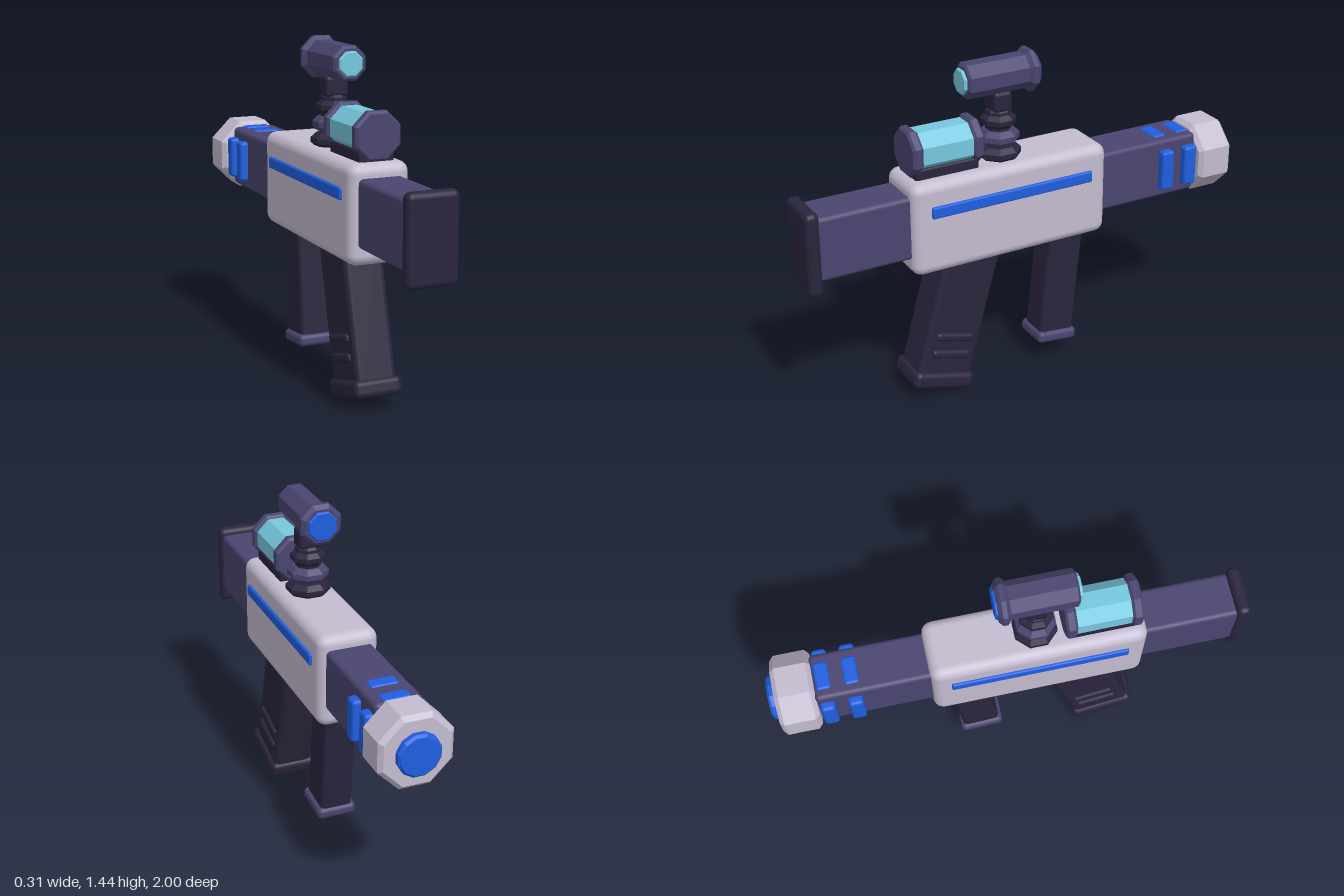
import * as THREE from 'three';
import { RoundedBoxGeometry } from 'three/addons/geometries/RoundedBoxGeometry.js';

const mat = (color, flatShading = false) => new THREE.MeshStandardMaterial({ color, flatShading });
const COLORS = { shell: 0xc4bcd0, dark: 0x2a253d, purple: 0x4a4570, blue: 0x1f5fe0, cyan: 0x76c8de };

// Rounded box centred at (x, y, z)
function box(parent, name, color, size, pos, radius = 0.02) {
  const mesh = new THREE.Mesh(new RoundedBoxGeometry(...size, 3, radius), mat(COLORS[color]));
  mesh.name = name;
  mesh.position.set(...pos);
  parent.add(mesh);
  return mesh;
}

// Bevelled prism with flats facing the axes; r is the distance to a flat
function prism(parent, name, color, r, length, pos, { bevel = 0.01, sides = 8, axis = 'z' } = {}) {
  const k = 1 / Math.cos(Math.PI / sides), h = length / 2;
  const profile = [[0, -h], [r - bevel, -h], [r, -h + bevel], [r, h - bevel], [r - bevel, h], [0, h]]
    .map(([x, y]) => new THREE.Vector2(x * k, y));
  const geo = new THREE.LatheGeometry(profile, sides, Math.PI / sides);
  if (axis === 'z') geo.rotateX(Math.PI / 2);
  const mesh = new THREE.Mesh(geo, mat(COLORS[color], true));
  mesh.name = name;
  mesh.position.set(...pos);
  parent.add(mesh);
  return mesh;
}

// Tilted group whose origin is the centre of a grip's foot
function tilted(parent, name, y, z, angle) {
  const g = new THREE.Group();
  g.name = name;
  g.position.set(0, y, z);
  g.rotation.x = -angle;
  parent.add(g);
  return g;
}

export function createModel() {
  const model = new THREE.Group();
  model.name = 'blaster';

  // Main body and side stripes
  box(model, 'body', 'shell', [0.26, 0.405, 0.9], [0, 0.808, 0.11], 0.045);
  for (const s of [-1, 1])
    box(model, 'sideStripe', 'blue', [0.03, 0.05, 0.74], [s * 0.127, 0.885, 0.11], 0.008);

  // Stock and end plate
  box(model, 'stock', 'purple', [0.19, 0.275, 0.46], [0, 0.817, 0.745], 0.02);
  box(model, 'stockPlate', 'dark', [0.216, 0.36, 0.06], [0, 0.803, 0.97], 0.025);

  // Barrel with raised blue bands on all four sides
  box(model, 'barrel', 'purple', [0.2, 0.265, 0.54], [0, 0.822, -0.54], 0.02);
  for (const z of [-0.652, -0.767]) {
    box(model, 'sideBand', 'blue', [0.27, 0.18, 0.062], [0, 0.82, z], 0.015);
    box(model, 'topBand', 'blue', [0.12, 0.278, 0.062], [0, 0.822, z], 0.012);
  }

  // Muzzle
  prism(model, 'muzzle', 'shell', 0.153, 0.165, [0, 0.822, -0.888], { bevel: 0.018 });
  prism(model, 'muzzleCore', 'blue', 0.088, 0.1, [0, 0.82, -0.95], { sides: 12 });

  // Magazine grip
  const magazine = tilted(model, 'magazine', 0.071, 0.4275, 0.27);
  box(magazine, 'magazineBody', 'dark', [0.176, 0.62, 0.253], [0, 0.31, 0], 0.025);
  box(magazine, 'magazineFoot', 'dark', [0.208, 0.075, 0.28], [0, 0, 0], 0.025);
  for (const y of [0.125, 0.204])
    box(magazine, 'magazineRib', 'dark', [0.202, 0.038, 0.18], [0, y, -0.002], 0.015);

  // Foregrip
  const foregrip = tilted(model, 'foregrip', 0.122, -0.135, 0.1);
  box(foregrip, 'foregripBody', 'dark', [0.14, 0.54, 0.163], [0, 0.27, 0], 0.02);
  box(foregrip, 'foregripFoot', 'purple', [0.172, 0.052, 0.188], [0, 0, 0], 0.02);

  // Energy canister on its cradle
  box(model, 'canisterCradle', 'dark', [0.15, 0.06, 0.28], [0, 1.025, 0.378], 0.01);
  prism(model, 'canisterTube', 'cyan', 0.085, 0.28, [0, 1.11, 0.378]);
  prism(model, 'canisterFrontCap', 'purple', 0.097, 0.046, [0, 1.11, 0.512]);
  prism(model, 'canisterRearCap', 'purple', 0.097, 0.046, [0, 1.11, 0.243]);

  // Stacked scope stem
  const rings = [[0.087, 0.06, 1.033, 'dark'], [0.08, 0.062, 1.101, 'purple'], [0.068, 0.06, 1.17, 'dark']];
  for (const [r, h, y, color] of rings)
    prism(model, 'stemRing', color, r, h, [0, y, 0.11], { axis: 'y', bevel: 0.02 });
  prism(model, 'stemCore', 'dark', 0.05, 0.22, [0, 1.11, 0.11], { axis: 'y' });
  box(model, 'scopeMount', 'dark', [0.1, 0.085, 0.08], [0, 1.255, 0.11], 0.015);

  // Scope with lenses
  prism(model, 'scopeTube', 'purple', 0.07, 0.3, [0, 1.36, 0.122]);
  prism(model, 'scopeCollar', 'purple', 0.086, 0.05, [0, 1.36, -0.024], { bevel: 0.016 });
  prism(model, 'frontLens', 'cyan', 0.05, 0.04, [0, 1.36, 0.265], { bevel: 0.005 });
  prism(model, 'rearLens', 'blue', 0.06, 0.03, [0, 1.36, -0.045], { bevel: 0.005 });

  return model;
}
